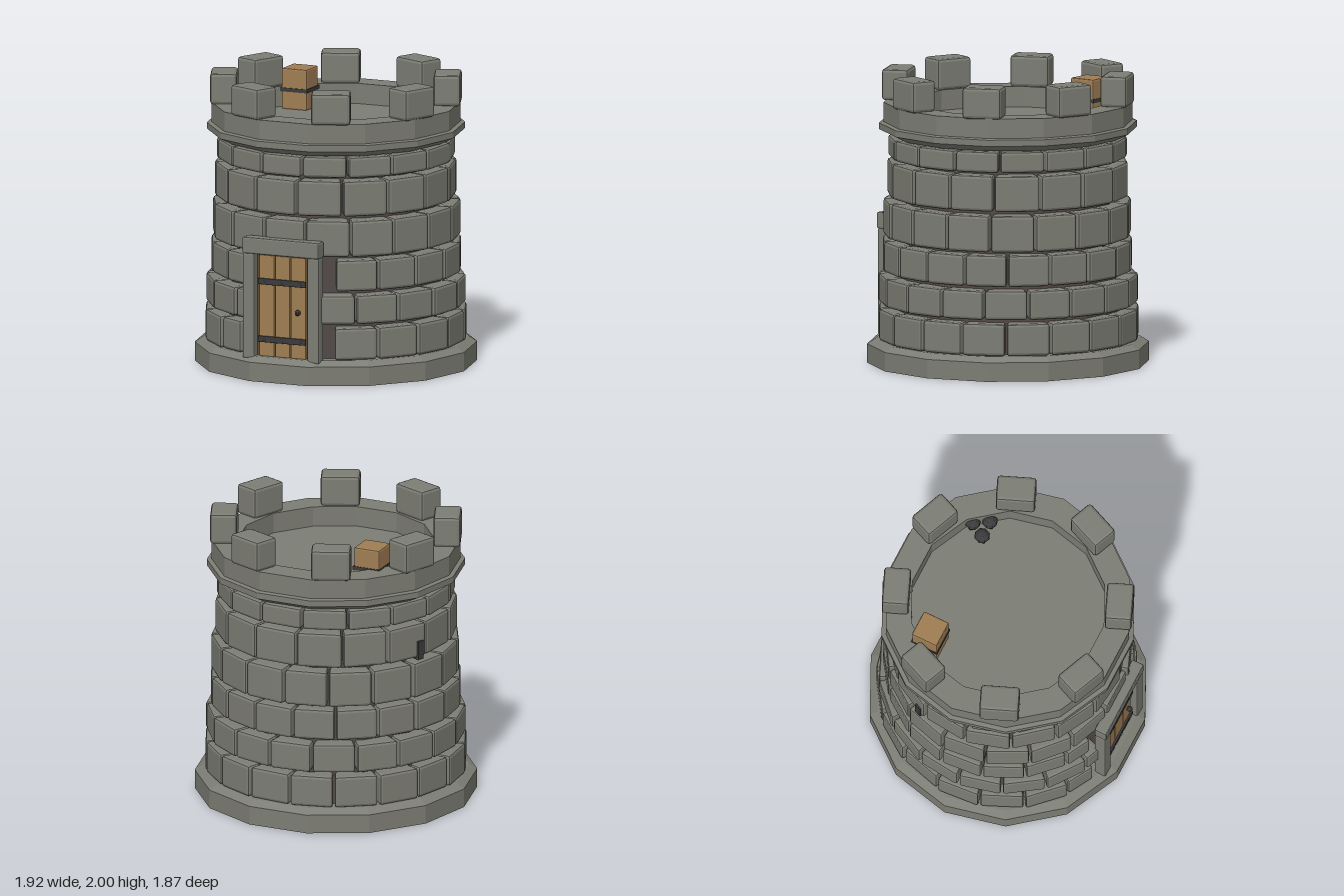
import * as THREE from 'three';
import { RoundedBoxGeometry } from 'three/addons/geometries/RoundedBoxGeometry.js';

const SIDES = 14;
const deg = THREE.MathUtils.degToRad;

export function createModel() {
  const tower = new THREE.Group();
  tower.name = 'castleTower';

  const paint = (name, color) => {
    const m = new THREE.MeshStandardMaterial({ color });
    m.name = name;
    return m;
  };
  const stone = paint('stone', 0x7c7d74);
  const mortar = paint('mortar', 0x504745);
  const wood = paint('wood', 0x9f7d53);
  const darkWood = paint('darkWood', 0x5f4a34);
  const iron = paint('iron', 0x3b3a3c);
  const rivetMetal = paint('rivetMetal', 0x77777a);

  // Small seeded random, from -1 to 1
  let seed = 7;
  const jitter = () => {
    seed = (seed * 16807) % 2147483647;
    return (seed / 2147483647) * 2 - 1;
  };

  // Faceted normals
  const flat = (geometry) => {
    const g = geometry.index ? geometry.toNonIndexed() : geometry;
    g.computeVertexNormals();
    return g;
  };
  const add = (parent, name, geometry, material, x = 0, y = 0, z = 0) => {
    const mesh = new THREE.Mesh(geometry, material);
    mesh.name = name;
    mesh.position.set(x, y, z);
    parent.add(mesh);
    return mesh;
  };
  const bevelBox = (w, h, d, r) => flat(new RoundedBoxGeometry(w, h, d, 1, r));
  const ring = (profile) => flat(new THREE.LatheGeometry(
    profile.map(([r, y]) => new THREE.Vector2(r, y)), SIDES, Math.PI / 2));
  const group = (name, parent = tower) => {
    const g = new THREE.Group();
    g.name = name;
    parent.add(g);
    return g;
  };

  // Foot, dark inner core, and parapet with roof floor
  add(tower, 'foundation', ring([[0, 0], [0.96, 0], [0.96, 0.13], [0.905, 0.165], [0, 0.165]]), stone);
  add(tower, 'innerCore', ring([[0.82, 0.15], [0.70, 1.6]]), mortar);
  add(tower, 'parapet', ring([
    [0.69, 1.56], [0.79, 1.56], [0.878, 1.605], [0.878, 1.648], [0.848, 1.655],
    [0.848, 1.79], [0.67, 1.79], [0.67, 1.65], [0, 1.65],
  ]), stone);

  // Courses of blocks: bottom, top, face distance, count, first seam, door half angle
  const courses = [
    [0.165, 0.385, 0.882, 18, 24, 22],
    [0.41, 0.61, 0.872, 18, 14, 17],
    [0.635, 0.85, 0.846, 18, 24.7, 22],
    [0.87, 1.12, 0.834, 17, 10.6, 0],
    [1.145, 1.39, 0.808, 16, 5.6, 0],
    [1.41, 1.555, 0.796, 16, 8.2, 0],
  ];
  const depth = 0.14;
  courses.forEach(([y0, y1, face, count, seam, door], row) => {
    const course = group('stoneCourse' + (row + 1));
    const step = 360 / count;
    for (let i = 0; i < count; i++) {
      let lo = seam + i * step;
      if (lo + step / 2 > 180) lo -= 360;
      let hi = lo + step;
      // Leave the doorway open
      if (door && hi > -door && lo < door) {
        if (lo + hi > 0) lo = Math.max(lo, door);
        else hi = Math.min(hi, -door);
      }
      if (hi - lo < 5) continue;
      const f = face + jitter() * 0.006;
      const width = 2 * f * Math.tan(deg(hi - lo) / 2) - 0.014;
      const g = new RoundedBoxGeometry(width, y1 - y0, depth, 1, 0.02);
      // Narrow each block toward the tower's middle
      const p = g.attributes.position;
      for (let v = 0; v < p.count; v++) {
        p.setX(v, p.getX(v) * (1 + (p.getZ(v) - depth / 2) / f));
      }
      const az = deg((lo + hi) / 2);
      const r = f - depth / 2;
      const block = add(course, 'stoneBlock', flat(g), stone,
        Math.sin(az) * r, (y0 + y1) / 2, Math.cos(az) * r);
      block.rotation.y = az + jitter() * 0.012;
    }
  });

  // Battlements
  const merlons = group('battlements');
  for (let i = 0; i < 8; i++) {
    const az = deg(22.5 + i * 45);
    const m = add(merlons, 'merlon', bevelBox(0.268, 0.215, 0.184, 0.022), stone,
      Math.sin(az) * 0.76, 1.892, Math.cos(az) * 0.76);
    m.rotation.y = az;
  }

  // Door frame
  const frame = group('doorFrame');
  for (const side of [-1, 1]) {
    add(frame, 'doorPost', bevelBox(0.088, 0.73, 0.085, 0.012), stone, side * 0.242 - 0.003, 0.51, 0.843);
  }
  add(frame, 'lintel', bevelBox(0.575, 0.115, 0.09, 0.012), stone, -0.003, 0.928, 0.847);

  // Planked door with straps, rivets and knob
  const door = group('door');
  add(door, 'doorBacking', new THREE.BoxGeometry(0.4, 0.71, 0.03), darkWood, -0.005, 0.515, 0.812);
  for (const x of [-0.123, -0.005, 0.113]) {
    add(door, 'doorPlank', bevelBox(0.112, 0.70, 0.035, 0.006), wood, x, 0.513, 0.833);
  }
  for (const y of [0.283, 0.682]) {
    add(door, 'doorStrap', bevelBox(0.358, 0.042, 0.016, 0.004), iron, -0.005, y, 0.857);
    for (const x of [-0.135, -0.003, 0.135]) {
      add(door, 'rivet', flat(new THREE.SphereGeometry(0.008, 6, 4)), rivetMetal, x, y, 0.866);
    }
  }
  add(door, 'doorKnob', flat(new THREE.SphereGeometry(0.021, 8, 6)), iron, 0.117, 0.485, 0.866);

  // Arrow slit on the rear side
  const slitAz = deg(249);
  const slit = add(tower, 'arrowSlit', new THREE.BoxGeometry(0.05, 0.13, 0.06), iron,
    Math.sin(slitAz) * 0.8, 1.2, Math.cos(slitAz) * 0.8);
  slit.rotation.y = slitAz;

  // Crate on the roof
  const crate = group('crate');
  add(crate, 'crateBody', bevelBox(0.19, 0.285, 0.19, 0.012), wood, -0.443, 1.788, -0.368);
  add(crate, 'crateBand', new THREE.BoxGeometry(0.2, 0.026, 0.2), iron, -0.443, 1.783, -0.368);

  // Pile of iron balls
  const balls = group('ironBalls');
  for (const [x, z] of [[0.388, -0.392], [0.505, -0.392], [0.445, -0.492]]) {
    add(balls, 'ironBall', flat(new THREE.SphereGeometry(0.055, 8, 6)), iron, x, 1.703, z);
  }

  return tower;
}
